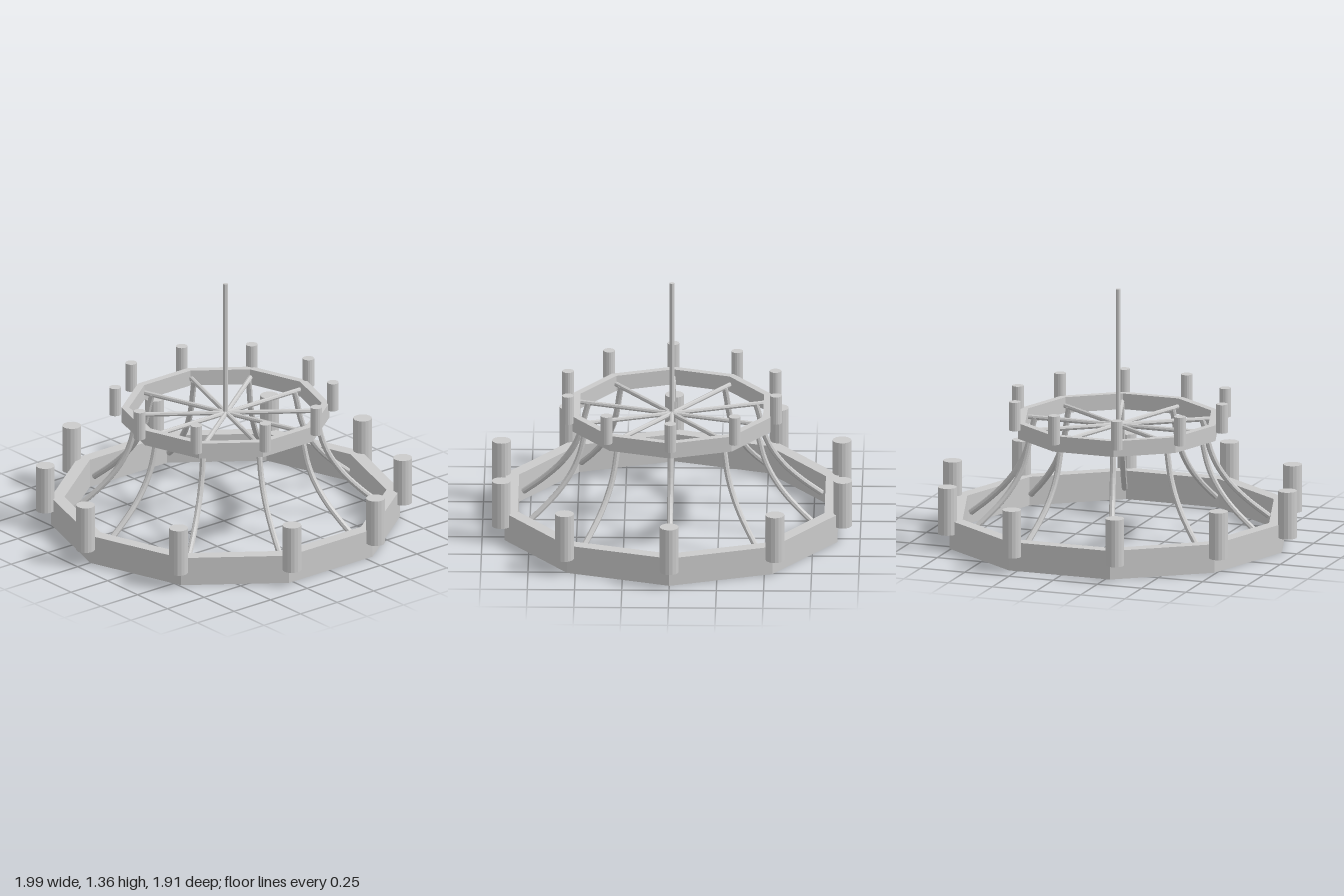
import * as THREE from 'three';

const material = new THREE.MeshStandardMaterial({ color: 0xcccccc, flatShading: true });
const CENTER_X = 0.01;

export function createModel() {
  const model = new THREE.Group();
  model.name = 'chandelier';

  function add(name, geometry, parent = model) {
    const mesh = new THREE.Mesh(geometry, material);
    mesh.name = name;
    parent.add(mesh);
    return mesh;
  }

  // Ten-sided rectangular hoop with a corner on the x axis
  function hoop(name, outer, inner, bottom, top) {
    const profile = [[outer, bottom], [outer, top], [inner, top], [inner, bottom], [outer, bottom]]
      .map(([r, y]) => new THREE.Vector2(r, y));
    add(name, new THREE.LatheGeometry(profile, 10, Math.PI / 2)).position.x = CENTER_X;
  }
  hoop('lowerRing', 0.925, 0.853, 0.005, 0.16);
  hoop('upperRing', 0.55, 0.51, 0.58, 0.665);

  // Candles standing against the outer corners of each hoop
  const candleAngles = [0, 36, 73.5, 109, 144, 180, 216, 253, 288.5, 324];
  function candles(name, distance, radius, bottom, top) {
    const group = new THREE.Group();
    group.name = name;
    model.add(group);
    const geometry = new THREE.CylinderGeometry(radius, radius, top - bottom, 16);
    for (const degrees of candleAngles) {
      const a = THREE.MathUtils.degToRad(degrees);
      add('candle', geometry, group)
        .position.set(distance * Math.cos(a), (bottom + top) / 2, -distance * Math.sin(a));
    }
  }
  candles('lowerCandles', 0.947, 0.05, 0.09, 0.345);
  candles('upperCandles', 0.577, 0.031, 0.63, 0.785);

  // Straight spokes to the upper hoop and curved ribs down to the lower hoop
  const ribCurve = new THREE.CatmullRomCurve3(
    [[0.465, 0.62], [0.48, 0.57], [0.51, 0.45], [0.55, 0.36], [0.62, 0.26], [0.72, 0.16], [0.83, 0.07]]
      .map(([r, y]) => new THREE.Vector3(r, y, 0)));
  const ribGeometry = new THREE.TubeGeometry(ribCurve, 20, 0.016, 8);
  const ribEnd = new THREE.CircleGeometry(0.016, 8);
  const spokeGeometry = new THREE.CylinderGeometry(0.013, 0.013, 0.52, 8)
    .rotateZ(Math.PI / 2).translate(0.26, 0.62, 0);
  for (let i = 0; i < 10; i++) {
    const arm = new THREE.Group();
    arm.name = 'arm';
    arm.position.x = CENTER_X + 0.005;
    arm.rotation.y = (i * Math.PI) / 5;
    model.add(arm);
    add('spoke', spokeGeometry, arm);
    add('rib', ribGeometry, arm);
    // Caps closing both ends of the rib
    for (const t of [0, 1]) {
      const cap = add('ribEnd', ribEnd, arm);
      const direction = ribCurve.getTangentAt(t).multiplyScalar(t ? 1 : -1);
      cap.position.copy(ribCurve.getPointAt(t));
      cap.quaternion.setFromUnitVectors(new THREE.Vector3(0, 0, 1), direction);
    }
  }

  // Hanging rod
  add('hangingRod', new THREE.CylinderGeometry(0.013, 0.013, 0.75, 8))
    .position.set(CENTER_X, 0.985, 0);

  return model;
}
